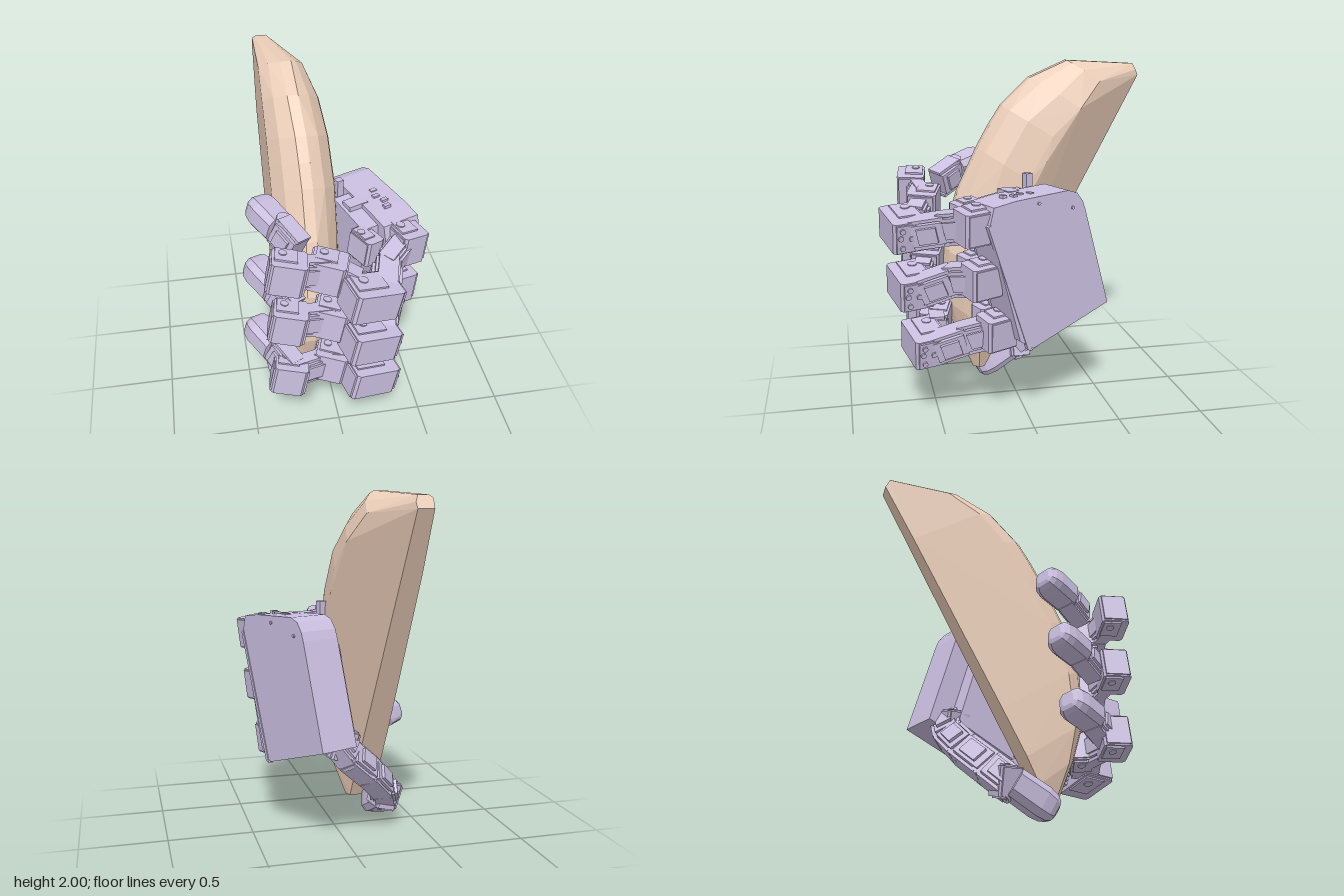
import * as THREE from 'three';
import { ConvexGeometry } from 'three/addons/geometries/ConvexGeometry.js';

const metal = new THREE.MeshStandardMaterial({ color: 0xcabfe0, flatShading: true });
const tan = new THREE.MeshStandardMaterial({ color: 0xeccfba, flatShading: true });

function add(parent, name, geometry, pos = [0, 0, 0], material = metal) {
  const m = new THREE.Mesh(geometry, material);
  m.name = name;
  m.position.set(...pos);
  parent.add(m);
  return m;
}
const box = (p, name, size, pos) => add(p, name, new THREE.BoxGeometry(...size), pos);

// Box with chamfered vertical edges
function chamferBox(p, name, [w, h, d], pos, c = 0.015) {
  const x = w / 2, z = d / 2;
  const pts = [[-x + c, -z], [x - c, -z], [x, -z + c], [x, z - c], [x - c, z], [-x + c, z], [-x, z - c], [-x, -z + c]];
  const g = new THREE.ExtrudeGeometry(new THREE.Shape(pts.map(q => new THREE.Vector2(...q))), { depth: h, bevelEnabled: false });
  g.translate(0, 0, -h / 2).rotateX(-Math.PI / 2);
  return add(p, name, g, pos);
}

// Faceted slab: flat left side, thin straight back, rounded nose
function heldObject(parent) {
  // distance along back edge, depth, nose centre, widest right, back left, back right
  const rings = [
    [0, 0.07, -0.18, -0.13, -0.23, -0.15],
    [0.1, 0.28, -0.18, -0.07, -0.28, -0.17],
    [0.26, 0.448, -0.16, 0.0, -0.305, -0.19],
    [0.55, 0.61, -0.14, 0.05, -0.31, -0.2],
    [0.87, 0.68, -0.13, 0.07, -0.31, -0.2],
    [1.16, 0.695, -0.13, 0.07, -0.31, -0.2],
    [1.3, 0.692, -0.135, 0.065, -0.31, -0.2],
    [1.44, 0.68, -0.14, 0.055, -0.31, -0.2],
    [1.66, 0.605, -0.155, 0.03, -0.31, -0.2],
    [1.85, 0.455, -0.16, -0.04, -0.305, -0.21],
    [2.033, 0.06, -0.25, -0.205, -0.3, -0.21]];
  const pts = [];
  rings.forEach(([s0, d, nose, wide, bl, br], i) => {
    const at = (x, f) => {
      const s = s0 + f * (i ? 0.045 : -0.025), e = d * f;
      pts.push(new THREE.Vector3(x, 0.12 + s * 0.879 + e * 0.476, 0.17 - s * 0.476 + e * 0.879));
    };
    const k = i % 2 * 0.06;
    at(bl, 0); at(br, 0); at(bl, 0.76);
    at(wide, 0.48 + k); at(wide * 0.85 + nose * 0.15, 0.72 + k);
    at(wide * 0.5 + nose * 0.5, 0.91 + k / 2);
    at(bl * 0.65 + nose * 0.35, 0.91);
    at(nose + 0.03, 1); at(nose - 0.03, 1);
  });
  add(parent, 'heldObject', new ConvexGeometry(pts), [0, 0, 0], tan);
}

// Plate outlined in (forward, up), thickened inwards from the outer plane
function plate(parent, name, outline, outer, depth) {
  const g = new THREE.ExtrudeGeometry(new THREE.Shape(outline.map(q => new THREE.Vector2(...q))), { depth, bevelEnabled: false });
  g.rotateY(-Math.PI / 2);
  return add(parent, name, g, [outer, 0, 0]);
}

function palm(parent) {
  const p = new THREE.Group();
  p.name = 'palm';
  p.position.set(0.4, 0, 0);
  p.rotation.y = 0.38;
  parent.add(p);
  plate(p, 'palmShell', [[-0.02, 0.44], [0.07, 0.5], [0.264, 1.18], [0.237, 1.28], [0.1, 1.3], [-0.25, 1.32], [-0.31, 1.3], [-0.35, 1.25], [-0.37, 1.2], [-0.55, 0.615]], 0, 0.23);
  plate(p, 'palmInner', [[-0.03, 0.46], [0.04, 0.52], [0.2, 1.1], [0.18, 1.26], [-0.12, 1.3], [-0.24, 1.18], [-0.42, 0.6]], -0.23, 0.1);
  // Rim and top fittings
  plate(p, 'frontRim', [[-0.01, 0.43], [0.02, 0.44], [0.275, 1.18], [0.255, 1.19]], 0.005, 0.03);
  box(p, 'topTab', [0.04, 0.11, 0.04], [-0.27, 1.33, -0.16]);
  box(p, 'topConnector', [0.12, 0.04, 0.08], [-0.25, 1.29, -0.02]);
  for (let i = 0; i < 4; i++) box(p, 'topLug', [0.04, 0.02, 0.025], [-0.1 - 0.02 * (i % 2), 1.305, -0.06 + i * 0.055]);
  for (const [z, y] of [[-0.05, 1.27], [-0.28, 1.22]]) {
    add(p, 'palmScrew', new THREE.CylinderGeometry(0.01, 0.01, 0.01, 8).rotateZ(Math.PI / 2), [0.003, y, z]);
  }
}

// Motor block with side brackets, hinge discs and screws
function motor(parent, name, pos, yaw, size, roll = -0.2, screws = false) {
  const [w, h, d] = size;
  const g = new THREE.Group();
  g.name = name;
  g.position.set(...pos);
  g.rotation.set(0, yaw, roll, 'ZYX');
  parent.add(g);
  chamferBox(g, 'motorCase', [w * 0.94, h * 0.88, d * 0.94], [0, 0, 0]);
  for (const s of [-1, 1]) {
    box(g, 'bracket', [w * 0.6, h * 0.06, d * 0.6], [-w * 0.1, s * h * 0.46, -d * 0.1]);
    box(g, 'endFrame', [w * 0.08, h * 0.8, d * 0.8], [s * w * 0.47, 0, 0]);
    add(g, 'hingeDisc', new THREE.CylinderGeometry(d * 0.13, d * 0.13, h * 0.06, 10), [-w * 0.2, s * h * 0.49, -d * 0.15]);
  }
  if (!screws) return;
  for (const [y, z] of [[0, 0], [0.25, 0.25], [0.25, -0.25], [-0.25, 0.25], [-0.25, -0.25], [0.05, 0.3]]) {
    add(g, 'screw', new THREE.CylinderGeometry(0.016, 0.016, 0.02, 8).rotateZ(Math.PI / 2), [w * 0.51, y * h, z * d]);
  }
}

// Group spanning two points, its z axis running from the first to the second
function span(parent, name, a, b, up) {
  const A = new THREE.Vector3(...a), B = new THREE.Vector3(...b);
  const g = new THREE.Group();
  g.name = name;
  g.up.set(...up).normalize();
  g.position.copy(A).lerp(B, 0.5);
  g.lookAt(B);
  parent.add(g);
  return [g, A.distanceTo(B)];
}

// Bracketed block stretched between two points
function link(parent, name, a, b, w, h, up = [0.2, 1, 0]) {
  const [g, len] = span(parent, name, a, b, up);
  box(g, 'linkCore', [w * 0.75, h * 0.7, len], [0, 0, 0]);
  for (const s of [-1, 1]) {
    box(g, 'linkSide', [w * 0.6, h * 0.1, len * 1.1], [0, s * h * 0.43, 0]);
    box(g, 'linkRib', [w * 0.1, h * 0.5, len * 0.6], [s * w * 0.42, 0, 0]);
  }
  add(g, 'hingeBarrel', new THREE.CylinderGeometry(w * 0.32, w * 0.32, h * 0.9, 12), [0, 0, len * 0.45]);
}

// Square pad with a rounded end, built from shrinking octagonal sections
function fingertip(parent, a, b, w, h, up = [0.2, 1, 0]) {
  const [g, len] = span(parent, 'fingertip', a, b, up);
  const pts = [];
  for (const [t, k] of [[-0.5, 0.95], [0.15, 1], [0.35, 0.9], [0.46, 0.7], [0.5, 0.45]]) {
    for (const [x, y] of [[0.5, 0.28], [0.32, 0.5]]) {
      for (const sx of [-1, 1]) for (const sy of [-1, 1]) pts.push(new THREE.Vector3(sx * x * w * k, sy * y * h * k, t * len));
    }
  }
  add(g, 'pad', new ConvexGeometry(pts));
}

function finger(parent, name, { base, knuckle, proximal, medial, distal, tip }) {
  const f = new THREE.Group();
  f.name = name;
  parent.add(f);
  motor(f, 'baseMotor', base, 0.38, [0.17, 0.21, 0.2], -0.12);
  motor(f, 'innerMotor', [base[0] - 0.23, base[1] + 0.01, base[2] + 0.01], 0.5, [0.12, 0.17, 0.18], -0.12);
  link(f, 'knuckle', base, knuckle, 0.15, 0.19);
  link(f, 'proximalLink', knuckle, [proximal[0] + 0.08, proximal[1] - 0.01, proximal[2] - 0.05], 0.18, 0.18);
  motor(f, 'proximalMotor', proximal, 0.25, [0.29, 0.2, 0.21], -0.2, true);
  link(f, 'medialLink', [proximal[0] - 0.08, proximal[1] + 0.03, proximal[2] - 0.08], medial, 0.15, 0.19);
  motor(f, 'medialMotor', medial, -0.3, [0.2, 0.2, 0.18]);
  link(f, 'distalLink', medial, distal, 0.12, 0.19);
  motor(f, 'distalMotor', distal, -0.15, [0.2, 0.21, 0.17]);
  // Tip runs back past the distal motor
  const root = [tip[0] + 0.19, tip[1] - 0.11, tip[2] + 0.31];
  const neck = [tip[0] + 0.11, tip[1] - 0.05, tip[2] + 0.19];
  link(f, 'tipMount', root, neck, 0.16, 0.18);
  fingertip(f, neck, tip, 0.17, 0.16);
}

function thumb(parent) {
  const t = new THREE.Group();
  t.name = 'thumb';
  parent.add(t);
  const up = [-0.1, 0.75, 0.65];
  const path = [[0.08, 0.65, -0.3], [-0.01, 0.53, -0.3], [-0.14, 0.41, -0.25], [-0.26, 0.28, -0.15], [-0.31, 0.18, -0.04]];
  for (let i = 0; i < 4; i++) link(t, 'thumbLink', path[i], path[i + 1], 0.18, 0.18, up);
  motor(t, 'thumbBaseMotor', [0.04, 0.6, -0.28], 0.3, [0.16, 0.19, 0.15], 0.3);
  motor(t, 'thumbMotor', [-0.3, 0.2, -0.07], 0.2, [0.15, 0.18, 0.14], 0.3);
  fingertip(t, [-0.32, 0.19, -0.04], [-0.29, 0.06, 0.2], 0.16, 0.17, up);
}

export function createModel() {
  const hand = new THREE.Group();
  hand.name = 'roboticHandHoldingObject';
  heldObject(hand);
  palm(hand);
  finger(hand, 'upperFinger', {
    base: [0.4, 1.17, 0.31], knuckle: [0.26, 1.13, 0.45], proximal: [0.13, 1.11, 0.67],
    medial: [-0.08, 1.2, 0.53], distal: [-0.3, 1.26, 0.58], tip: [-0.41, 1.4, 0.12] });
  finger(hand, 'middleFinger', {
    base: [0.37, 0.86, 0.27], knuckle: [0.25, 0.83, 0.42], proximal: [0.14, 0.78, 0.64],
    medial: [-0.06, 0.86, 0.52], distal: [-0.3, 0.91, 0.57], tip: [-0.45, 1.03, 0.17] });
  finger(hand, 'lowerFinger', {
    base: [0.32, 0.54, 0.18], knuckle: [0.25, 0.48, 0.35], proximal: [0.16, 0.44, 0.57],
    medial: [-0.05, 0.49, 0.48], distal: [-0.3, 0.5, 0.55], tip: [-0.47, 0.63, 0.22] });
  thumb(hand);
  return hand;
}
